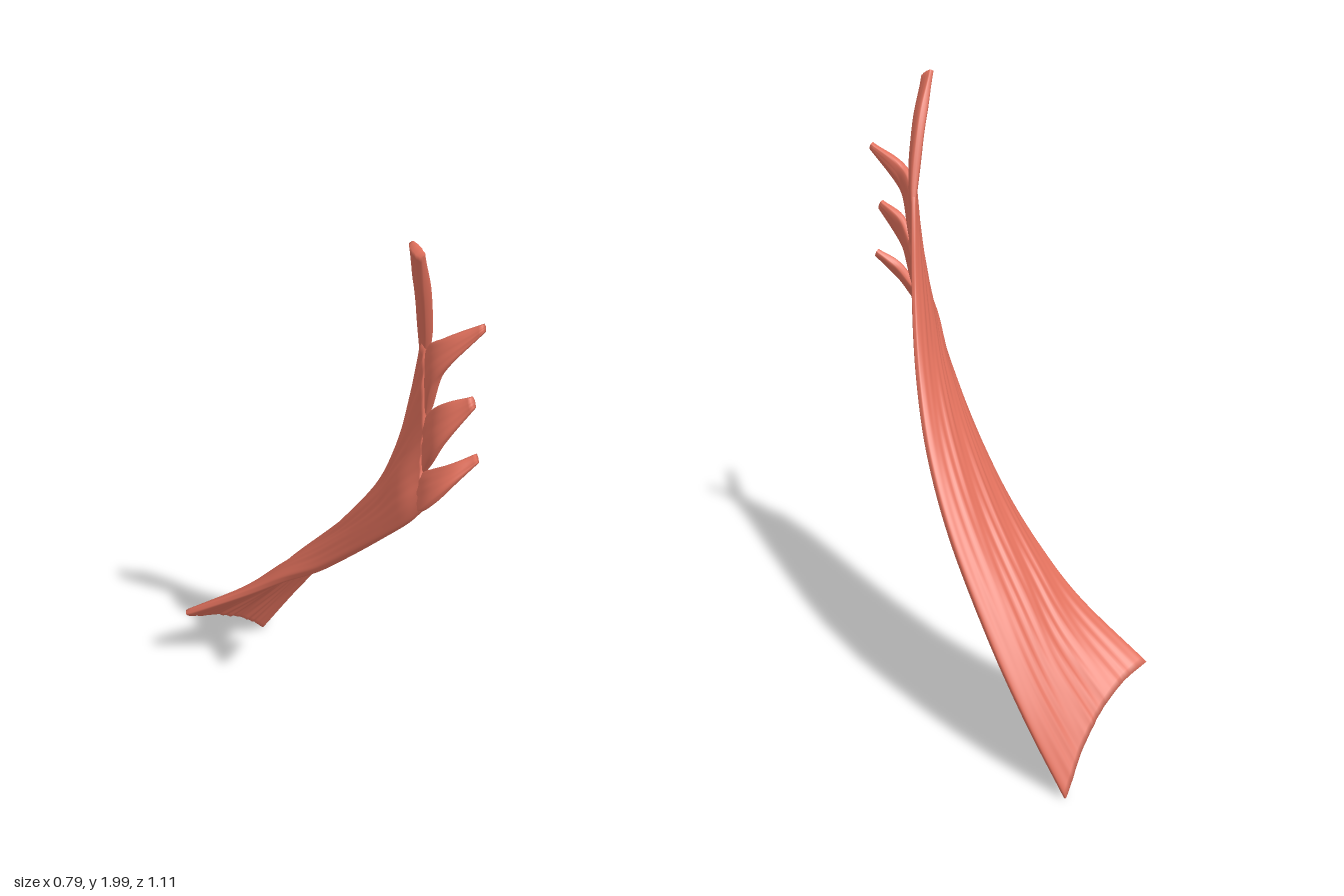
import * as THREE from 'three';

const V = (p) => new THREE.Vector3(...p);
const curve = (pts) => new THREE.CatmullRomCurve3(pts, false, 'catmullrom', 0.5);

// Closed fleshy band: rows of points run along the fibres, each row crosses the band.
function band(rows, thickness, ripple, nT, nRing) {
  const lines = rows[0].map((_, k) => curve(rows.map((r) => r[k])));
  const pos = [], idx = [];
  const across = (t) => curve(lines.map((l) => l.getPoint(t)));
  const ringStart = (i) => i * nRing;
  for (let i = 0; i <= nT; i++) {
    const t = i / nT, here = across(t);
    const before = across(Math.max(0, t - 0.01)), after = across(Math.min(1, t + 0.01));
    for (let j = 0; j < nRing; j++) {
      const a = (j / nRing) * Math.PI * 2;
      const s = (1 - Math.cos(a)) / 2;
      const p = here.getPoint(s);
      const dT = after.getPoint(s).sub(before.getPoint(s));
      const dS = here.getPoint(Math.min(1, s + 0.01)).sub(here.getPoint(Math.max(0, s - 0.01)));
      const n = dT.cross(dS).normalize();
      // rounded edges, with shallow uneven grooves that wander along the fibres
      const side = Math.sign(Math.sin(a));
      const body = side * Math.sqrt(Math.abs(Math.sin(a))) * thickness(t);
      const groove = ripple * Math.sin(a) ** 2 *
        (Math.sin(s * 71 + 6 * t) * Math.cos(s * 9 - 8 * t + side) + 0.8 * Math.sin(s * 23 - 7 * t + side));
      p.addScaledVector(n, body + groove * side);
      pos.push(p.x, p.y, p.z);
    }
  }
  for (let i = 0; i < nT; i++) {
    for (let j = 0; j < nRing; j++) {
      const k = (j + 1) % nRing;
      const a = ringStart(i) + j, b = ringStart(i) + k;
      const d = ringStart(i + 1) + j, e = ringStart(i + 1) + k;
      idx.push(a, d, b, b, d, e);
    }
  }
  // end caps, zipped straight across between the two faces
  const last = ringStart(nT);
  for (let j = 0; j < nRing / 2; j++) {
    const k = j + 1, jm = (nRing - j) % nRing, km = nRing - k;
    idx.push(j, k, km, j, km, jm);
    idx.push(last + k, last + j, last + km, last + km, last + j, last + jm);
  }
  const g = new THREE.BufferGeometry();
  g.setAttribute('position', new THREE.Float32BufferAttribute(pos, 3));
  g.setIndex(idx);
  g.computeVertexNormals();
  return g;
}

export function createModel() {
  const group = new THREE.Group();
  group.name = 'muscle';
  const material = new THREE.MeshStandardMaterial({ color: 0xe0705c, side: THREE.DoubleSide });
  const add = (name, geometry) => {
    const mesh = new THREE.Mesh(geometry, material);
    mesh.name = name;
    group.add(mesh);
  };

  // Outer and inner border of the broad sheet, from the low end upward
  const outer = [[-0.11, 0.008, -0.545], [0, 0.23, -0.46], [0.1, 0.45, -0.345], [0.2, 0.71, -0.19],
    [0.255, 0.92, -0.04], [0.277, 1.12, 0.095], [0.28, 1.35, 0.215]].map(V);
  const inner = [[-0.395, 0.3, -0.28], [-0.2, 0.465, -0.15], [-0.08, 0.6, -0.035], [0.015, 0.73, 0.1],
    [0.1, 0.89, 0.245], [0.17, 1.045, 0.385], [0.22, 1.15, 0.475]].map(V);
  const lowEndRise = V([0.05, 0.03, 0.027]);
  const bulge = V([-0.025, 0.018, -0.015]);

  const rows = outer.map((a, i) => [0, 0.25, 0.5, 0.75, 1].map((s) => {
    const arch = 4 * s * (1 - s);
    return a.clone().lerp(inner[i], s)
      .addScaledVector(bulge, arch)
      .addScaledVector(lowEndRise, arch * Math.max(0, 1 - i / 2));
  }));
  // Upper end of the sheet, where the slips part
  const fork = [[0.268, 1.63, 0.33], [0.27, 1.65, 0.4], [0.275, 1.46, 0.42],
    [0.268, 1.3, 0.45], [0.25, 1.22, 0.52]].map(V);
  rows.push(fork);
  add('sheet', band(rows, (t) => 0.014 + 0.008 * Math.cos(t * 1.6) + 0.003 * Math.sin(Math.PI * t),
    0.0026, 90, 160));

  // Four slips: upper and lower border beyond the fork, ending in a narrow tip
  const slips = [
    { upper: [[0.238, 1.83, 0.398], [0.197, 1.99, 0.482]], lower: [[0.255, 1.8, 0.455], [0.225, 1.965, 0.515]] },
    { upper: [[0.303, 1.71, 0.455], [0.39, 1.765, 0.497]], lower: [[0.29, 1.6, 0.47], [0.393, 1.745, 0.505]] },
    { upper: [[0.305, 1.53, 0.48], [0.365, 1.572, 0.525]], lower: [[0.29, 1.41, 0.515], [0.373, 1.545, 0.54]] },
    { upper: [[0.32, 1.36, 0.515], [0.385, 1.405, 0.537]], lower: [[0.3, 1.295, 0.555], [0.39, 1.385, 0.552]] },
  ];
  // roots lie buried inside the sheet and swell as they leave it
  const roots = rows[6].map((p, k) => p.clone().lerp(fork[k], 0.5));
  roots[0].lerp(roots[1], 0.2);
  roots[4].lerp(roots[3], 0.2);
  const swell = (t) => 0.003 + 0.015 * THREE.MathUtils.smoothstep(t, 0.05, 0.55)
    - 0.007 * THREE.MathUtils.smoothstep(t, 0.75, 1);
  slips.forEach((slip, i) => {
    const upper = [roots[i], fork[i], ...slip.upper.map(V)];
    const lower = [roots[i + 1], fork[i + 1], ...slip.lower.map(V)];
    const slipRows = upper.map((p, r) => [p, p.clone().lerp(lower[r], 0.5), lower[r]]);
    add('slip' + (i + 1), band(slipRows, swell, 0.001, 30, 32));
  });
  return group;
}
